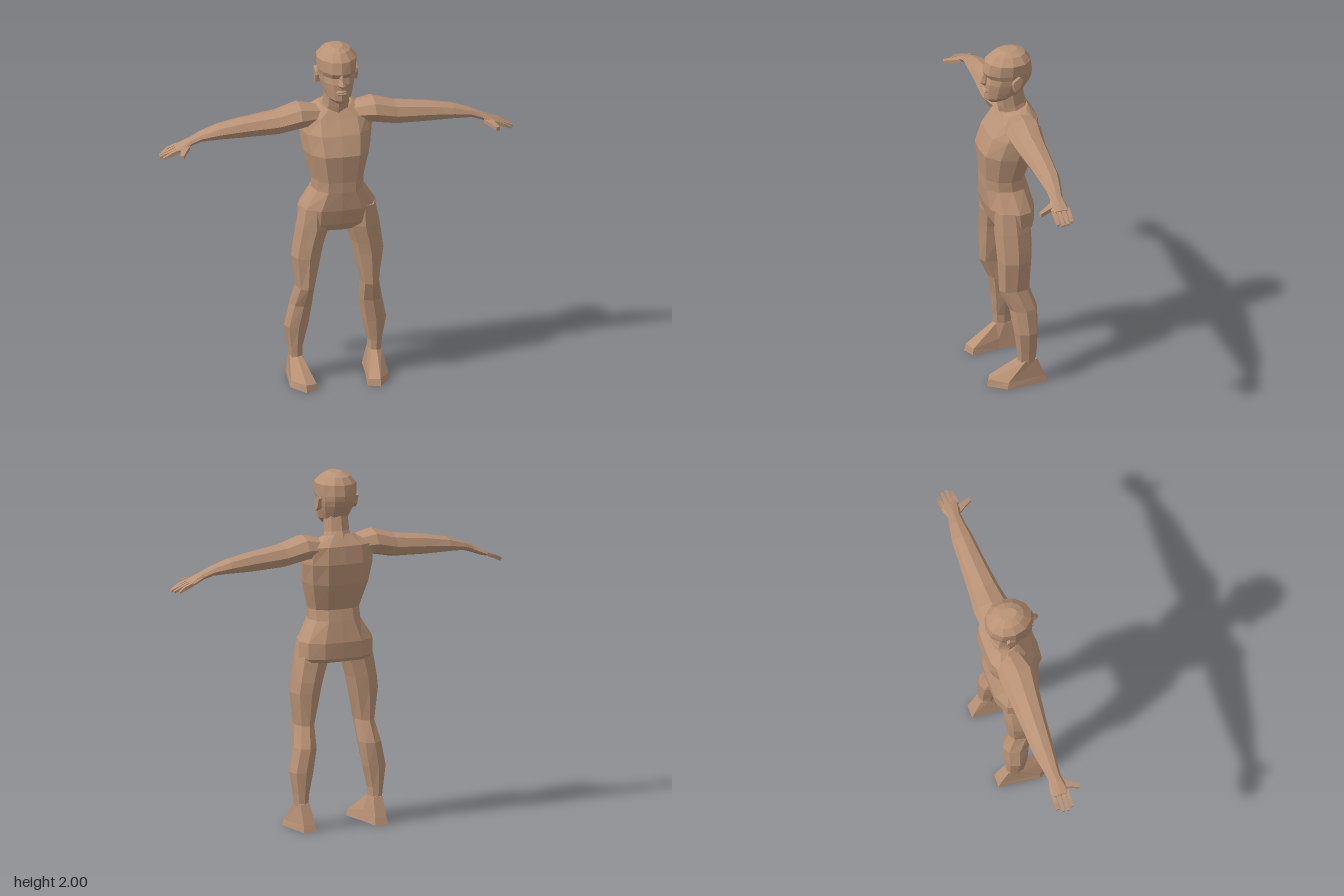
import * as THREE from 'three';

const skin = new THREE.MeshStandardMaterial({ color: 0xba9376 });
skin.name = 'skin';

// Cross-section outlines: [side, depth] in -1..1
const mirrorHalf = (half) => [...half, ...half.slice(1, -1).reverse().map(([a, b]) => [-a, b])];
const BODY = mirrorHalf([[0, 1], [0.52, 0.95], [0.86, 0.5], [1, -0.1], [0.88, -0.65], [0.5, -0.97], [0, -1]]);
const SKULL = mirrorHalf([[0, 1], [0.45, 0.88], [0.84, 0.5], [1, 0], [0.88, -0.55], [0.5, -0.9], [0, -1]]);
const LIMB = mirrorHalf([[0, 1], [0.72, 0.72], [1, 0], [0.72, -0.72], [0, -1]]);
const SQUARE = [[-1, -1], [1, -1], [1, 1], [-1, 1]];

// Joins rings of points into a closed, faceted solid; side = -1 mirrors it
function loft(name, rings, side = 1) {
  const n = rings[0].length;
  const pts = rings.flat().map(([x, y, z]) => new THREE.Vector3(x * side, y, z));
  const centre = (k) => pts.slice(k * n, k * n + n)
    .reduce((s, p) => s.add(p), new THREE.Vector3()).divideScalar(n);
  const last = rings.length - 1;
  const c0 = pts.length;
  const ends = [centre(0), centre(last)];
  pts.push(...ends);
  const tris = [];
  for (let j = 0; j < n; j++) {
    const j2 = (j + 1) % n;
    for (let k = 0; k < last; k++) {
      const a = k * n + j, b = k * n + j2, c = b + n, d = a + n;
      tris.push([a, b, c], [a, c, d]);
    }
    tris.push([c0, j2, j], [c0 + 1, last * n + j, last * n + j2]);
  }
  // Turn the faces outward if the signed volume is negative
  let volume = 0;
  const cross = new THREE.Vector3();
  for (const [a, b, c] of tris) volume += pts[a].dot(cross.crossVectors(pts[b], pts[c]));
  if (volume < 0) tris.forEach((t) => t.reverse());
  const geometry = new THREE.BufferGeometry().setFromPoints(tris.flat().map((i) => pts[i]));
  geometry.computeVertexNormals();
  const mesh = new THREE.Mesh(geometry, skin);
  mesh.name = name;
  return mesh;
}

// Centred upright ring; front and back may sit at different heights
const level = (shape) => ([yFront, yBack, w, zFront, zBack]) => shape.map(([a, b]) => [
  a * w, (yFront + yBack) / 2 + b * (yFront - yBack) / 2, (zFront + zBack) / 2 + b * (zFront - zBack) / 2]);

// Leg ring at a height, and arm ring at a distance from the middle
const legRing = ([y, xIn, xOut, zF, zB]) => LIMB.map(([a, b]) =>
  [(xIn + xOut) / 2 + a * (xOut - xIn) / 2, y, (zF + zB) / 2 + b * (zF - zB) / 2]);
const armRing = (shape) => ([x, yT, yB, zF, zB]) => shape.map(([a, b]) =>
  [x, (yT + yB) / 2 + b * (yT - yB) / 2, (zF + zB) / 2 + a * (zF - zB) / 2]);

function makeHead() {
  const head = new THREE.Group();
  head.name = 'head';
  head.add(loft('skull', [
    [1.69, 1.72, 0.05, 0.095, -0.06], [1.715, 1.75, 0.076, 0.12, -0.095],
    [1.76, 1.78, 0.088, 0.12, -0.115], [1.81, 1.82, 0.1, 0.12, -0.14],
    [1.845, 1.85, 0.106, 0.108, -0.15], [1.875, 1.88, 0.111, 0.128, -0.155],
    [1.94, 1.94, 0.113, 0.113, -0.145], [1.98, 1.98, 0.078, 0.07, -0.115],
    [2.0, 2.0, 0.035, 0.03, -0.07],
  ].map(level(SKULL))));
  // Nose, lips
  head.add(loft('nose', [
    [1.797, 1.797, 0.016, 0.125, 0.09], [1.815, 1.815, 0.022, 0.156, 0.09],
    [1.845, 1.845, 0.013, 0.138, 0.09], [1.87, 1.87, 0.01, 0.126, 0.09],
  ].map(level(LIMB))));
  head.add(loft('lips', [
    [1.75, 1.75, 0.022, 0.119, 0.08], [1.757, 1.757, 0.034, 0.128, 0.08],
    [1.764, 1.764, 0.038, 0.122, 0.08], [1.771, 1.771, 0.034, 0.129, 0.08],
    [1.78, 1.78, 0.018, 0.12, 0.08],
  ].map(level(LIMB))));
  // Ears
  const ear = [[1.785, -0.018], [1.83, -0.006], [1.85, -0.012], [1.875, -0.045], [1.86, -0.062], [1.81, -0.045]];
  for (const side of [1, -1]) {
    head.add(loft('ear', [0.08, 0.112, 0.121].map((x, i) =>
      ear.map(([y, z]) => [x, y, z - i * 0.004])), side));
  }
  return head;
}

function makeArm(side) {
  const arm = new THREE.Group();
  arm.name = side > 0 ? 'leftArm' : 'rightArm';
  arm.add(loft('armAndPalm', [
    [0.08, 1.63, 1.53, 0.02, -0.13], [0.21, 1.662, 1.515, 0.06, -0.145],
    [0.335, 1.625, 1.49, 0.042, -0.13], [0.535, 1.597, 1.484, 0.02, -0.117],
    [0.665, 1.57, 1.485, 0.01, -0.11], [0.765, 1.535, 1.483, -0.003, -0.09],
    [0.82, 1.51, 1.465, -0.005, -0.078], [0.87, 1.485, 1.445, 0.01, -0.09],
    [0.912, 1.464, 1.435, 0.01, -0.094],
  ].map(armRing(LIMB)), side));
  // Four fingers
  [[-0.082, 0.975], [-0.054, 0.995], [-0.026, 1.0], [0.0, 0.985]].forEach(([z, tip]) => {
    arm.add(loft('finger', [
      [0.895, 1.465, 1.444, z + 0.011, z - 0.011],
      [0.945, 1.444, 1.424, z + 0.011, z - 0.011],
      [tip, 1.42, 1.408, z + 0.008, z - 0.008],
    ].map(armRing(SQUARE)), side));
  });
  // Thumb
  arm.add(loft('thumb', [
    [0.852, 1.465, -0.01, 0.02], [0.876, 1.455, 0.035, 0.014], [0.895, 1.445, 0.076, 0.01],
  ].map(([x, y, z, r]) => SQUARE.map(([a, b]) => [x + a * r, y + b * 0.011, z - a * r * 0.4])), side));
  return arm;
}

function makeLeg(side) {
  const leg = new THREE.Group();
  leg.name = side > 0 ? 'leftLeg' : 'rightLeg';
  leg.add(loft('thighAndShin', [
    [1.06, 0.06, 0.212, 0.1, -0.09], [0.94, 0.04, 0.238, 0.105, -0.105],
    [0.83, 0.075, 0.254, 0.1, -0.105], [0.765, 0.088, 0.262, 0.097, -0.1],
    [0.58, 0.13, 0.235, 0.09, -0.085], [0.46, 0.13, 0.262, 0.035, -0.125],
    [0.325, 0.15, 0.29, 0.015, -0.122], [0.2, 0.182, 0.268, 0, -0.115],
    [0.13, 0.185, 0.26, -0.005, -0.11],
  ].map(legRing), side));
  // Foot, wider and turned out at the toes
  leg.add(loft('foot', [
    [[0.255, 0, -0.168], [0.178, 0, -0.168], [0.165, 0, -0.02], [0.14, 0, 0.14], [0.21, 0, 0.17], [0.282, 0, 0.07]],
    [[0.252, 0.04, -0.155], [0.182, 0.04, -0.155], [0.172, 0.06, -0.02], [0.147, 0.035, 0.135], [0.21, 0.04, 0.16], [0.275, 0.035, 0.065]],
    [[0.25, 0.15, -0.11], [0.195, 0.15, -0.11], [0.185, 0.15, -0.06], [0.195, 0.145, -0.01], [0.225, 0.145, 0], [0.26, 0.145, -0.04]],
  ], side));
  return leg;
}

export function createModel() {
  const model = new THREE.Group();
  model.name = 'figure';
  // Pelvis to collar
  model.add(loft('torso', [
    [0.925, 0.94, 0.19, 0.075, -0.125], [0.97, 0.96, 0.222, 0.105, -0.138],
    [1.06, 1.05, 0.222, 0.127, -0.14], [1.17, 1.17, 0.15, 0.135, -0.112],
    [1.23, 1.23, 0.148, 0.135, -0.095], [1.39, 1.38, 0.19, 0.15, -0.152],
    [1.5, 1.5, 0.207, 0.108, -0.172], [1.58, 1.6, 0.2, 0.05, -0.162],
    [1.63, 1.66, 0.095, 0.02, -0.12],
  ].map(level(BODY))));
  model.add(loft('neck', [
    [1.6, 1.64, 0.085, 0.03, -0.135], [1.65, 1.68, 0.074, 0.042, -0.115],
    [1.72, 1.77, 0.07, 0.05, -0.1],
  ].map(level(LIMB))));
  model.add(makeHead());
  for (const side of [1, -1]) model.add(makeArm(side), makeLeg(side));
  return model;
}
